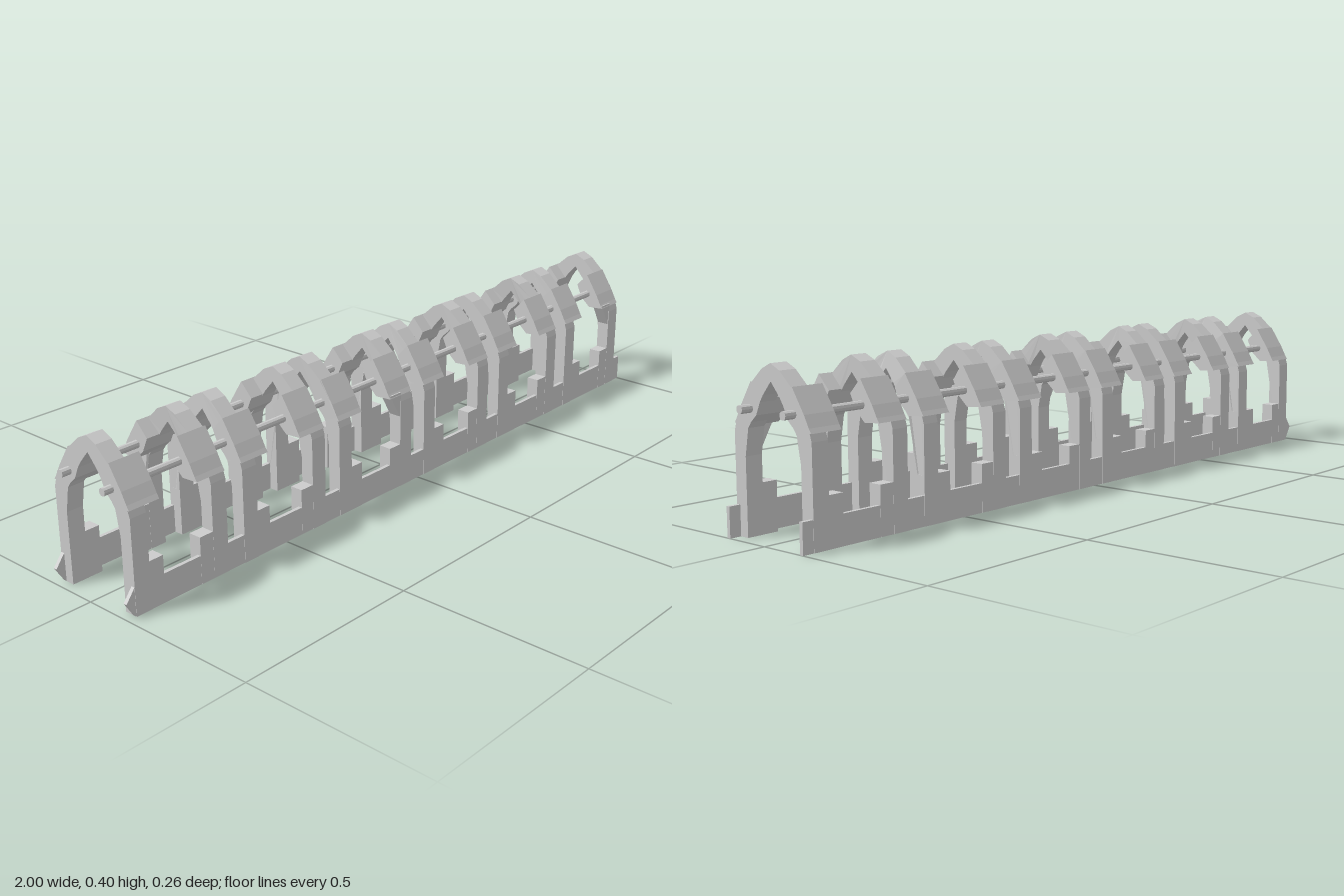
import * as THREE from 'three';

const mat = new THREE.MeshStandardMaterial({ color: 0xcccccc, flatShading: true, side: THREE.DoubleSide });

// Half profile of the pointed arch as [z, y]
const OUTER = [[0.13, 0], [0.13, 0.24], [0.122, 0.265], [0.106, 0.295], [0.068, 0.352], [0.03, 0.386], [0, 0.4]];
const INNER = [[0, 0.36], [0.028, 0.328], [0.058, 0.283], [0.082, 0.25], [0.094, 0.185], [0.094, 0]];
// Wide shoulder block around the rod, as [z, y]
const SHOULDER = [[0.129, 0.258], [0.122, 0.269], [0.107, 0.297], [0.07, 0.354], [0.036, 0.318], [0.053, 0.281], [0.082, 0.255]];

const mirrorPts = (pts) => pts.map(([z, y]) => [-z, y]).reverse();

// Extrude a z/y outline along x between x0 and x1
function extrudeX(points, x0, x1) {
  const shape = new THREE.Shape(points.map(([z, y]) => new THREE.Vector2(-z, y)));
  const geo = new THREE.ExtrudeGeometry(shape, { depth: x1 - x0, bevelEnabled: false });
  return geo.rotateY(Math.PI / 2).translate(x0, 0, 0);
}

// Extrude an x/y outline along z between z0 and z1
function extrudeZ(points, z0, z1) {
  const shape = new THREE.Shape(points.map(([x, y]) => new THREE.Vector2(x, y)));
  return new THREE.ExtrudeGeometry(shape, { depth: z1 - z0, bevelEnabled: false }).translate(0, 0, z0);
}

function add(parent, name, geo) {
  const mesh = new THREE.Mesh(geo, mat);
  mesh.name = name;
  parent.add(mesh);
  return mesh;
}

// One arch: its outer face is at x, and it widens in direction dir
function makeArch(x, dir, lean, worn) {
  const arch = new THREE.Group();
  arch.name = 'arch';
  const span = (w) => (dir > 0 ? [x, x + w] : [x - w, x]);

  // Narrow rib running up one side and down the other
  const outline = [...OUTER, ...mirrorPts(OUTER).slice(1), ...mirrorPts(INNER), ...INNER.slice(1)];
  const rib = extrudeX(outline, ...span(0.045));
  const pos = rib.attributes.position;
  for (let i = 0; i < pos.count; i++) {
    const t = Math.max(0, (pos.getY(i) - 0.3) / 0.1);
    pos.setX(i, pos.getX(i) + dir * lean * t);
  }
  rib.computeVertexNormals();
  add(arch, 'rib', rib);

  for (const side of [1, -1]) {
    add(arch, 'shoulder', extrudeX(side > 0 ? SHOULDER : mirrorPts(SHOULDER), ...span(0.085)));
    const foot = new THREE.BoxGeometry(0.085, 0.12, 0.035).translate(x + dir * 0.0425, 0.06, side * 0.112);
    add(arch, 'foot', foot);
  }
  // Sloping brace below the front shoulder
  if (worn) {
    const tri = [[x + dir * 0.04, 0.19], [x + dir * 0.083, 0.265], [x + dir * 0.04, 0.265]];
    add(arch, 'brace', extrudeZ(tri, 0.094, 0.128));
  }
  return arch;
}

export function createModel() {
  const model = new THREE.Group();
  model.name = 'archedFrame';

  // Six pairs of arches facing each other
  const leans = [0, 0.01, 0.004, 0, -0.003, 0.004, 0.006, 0.003, 0, 0.012, 0.003, 0];
  for (let i = 0; i < 6; i++) {
    const x = -0.975 + i * 0.333;
    const worn = i === 2 || i === 5;
    model.add(makeArch(x, 1, leans[2 * i], false));
    model.add(makeArch(x + 0.28, -1, leans[2 * i + 1], worn));
  }

  // Thin skirts and rods on both sides
  const skirt = [[-0.975, 0], [1, 0], [1, 0.073], [-0.975, 0.073], [-1, 0.04]];
  for (const side of [1, -1]) {
    const z = side * 0.124;
    add(model, 'skirt', extrudeZ(skirt, z - 0.005, z + 0.005));
    const rod = new THREE.CylinderGeometry(0.01, 0.01, 2, 10).rotateZ(Math.PI / 2);
    add(model, 'rod', rod.translate(0, 0.295, side * 0.073));
  }
  return model;
}
